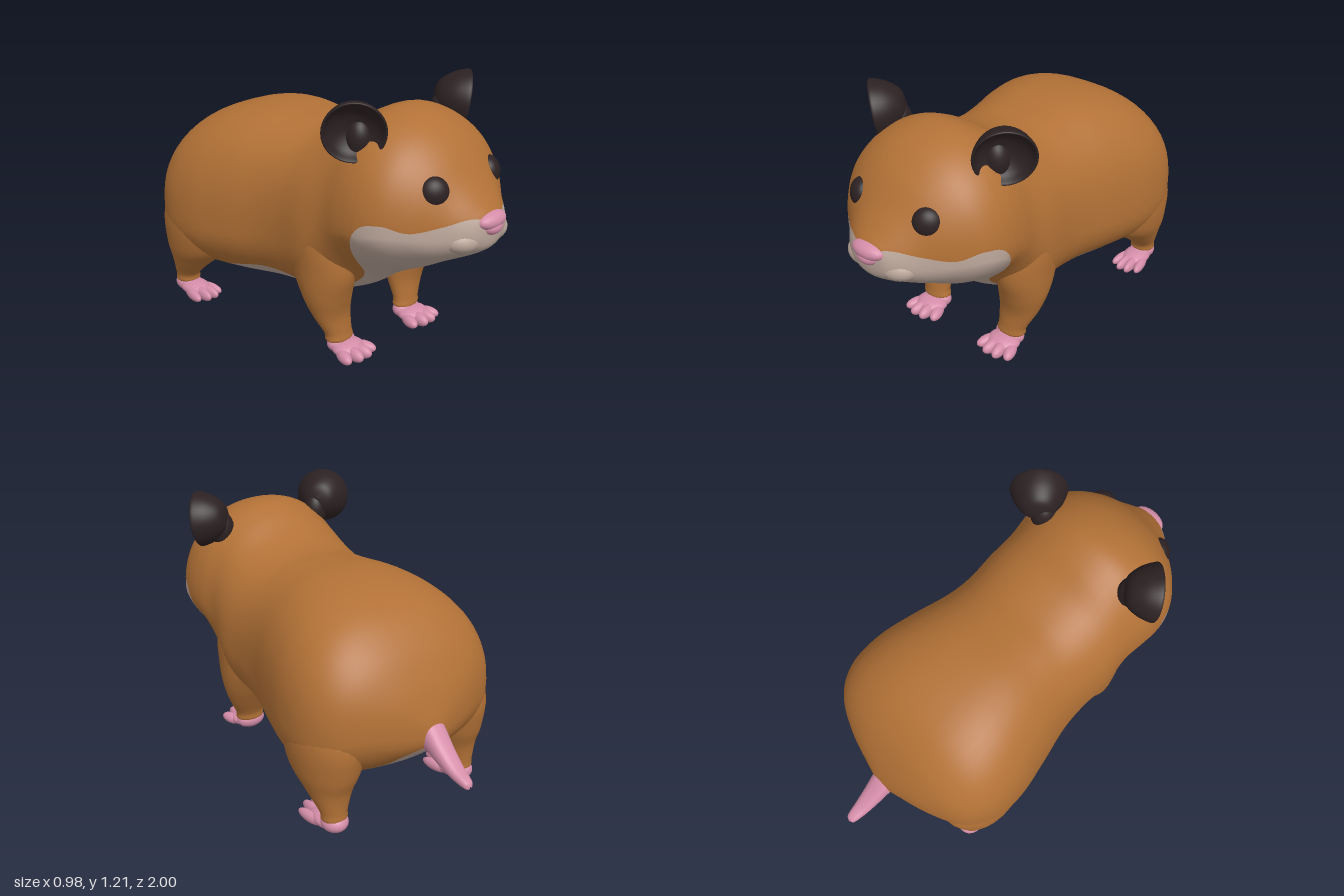
import * as THREE from 'three';

const material = (name, color) => Object.assign(new THREE.MeshStandardMaterial({ color }), { name });

// Skin a list of closed rings; isSecond(j) picks material group 1 for a strip
function skin(rings, isSecond = () => false) {
  const n = rings[0].length, groups = [[], []];
  for (let i = 0; i < rings.length - 1; i++) {
    for (let j = 0; j < n; j++) {
      const a = i * n + j, b = i * n + (j + 1) % n, c = a + n, d = b + n;
      groups[isSecond(j) ? 1 : 0].push(a, c, b, b, c, d);
    }
  }
  const geo = new THREE.BufferGeometry();
  geo.setAttribute('position', new THREE.Float32BufferAttribute(rings.flat(2), 3));
  geo.setIndex([...groups[0], ...groups[1]]);
  geo.addGroup(0, groups[0].length, 0);
  geo.addGroup(groups[0].length, groups[1].length, 1);
  geo.computeVertexNormals();
  return geo;
}

// Smoothly resample a table of sections
function resample(rows, steps) {
  const size = rows[0].length;
  const spline = new THREE.CubicInterpolant(rows.map((_, i) => i), rows.flat(), size);
  const out = [];
  for (let k = 0; k <= steps; k++) {
    out.push(Array.from(spline.evaluate(k / steps * (rows.length - 1))));
  }
  return out;
}

// Upright cross-section: rounded top and bottom halves, divided at height split
const UPPER = 22, LOWER = 14;
function bodyRing([z, top, bottom, mid, width, power, split]) {
  const spow = (v, p) => Math.sign(v) * Math.pow(Math.abs(v), p);
  const upperPower = 2.5 - 0.38 * THREE.MathUtils.smoothstep(z, 0.1, 0.5);
  const w = Math.max(width, 0.002);
  const up = split > mid;
  const ratio = up ? (split - mid) / (top - mid) : (split - mid) / (mid - bottom);
  const cut = Math.asin(THREE.MathUtils.clamp(spow(ratio, (up ? upperPower : power) / 2), -0.99, 0.99));
  const half = [];
  for (let j = 0; j <= UPPER + LOWER; j++) {
    const t = j <= UPPER
      ? THREE.MathUtils.lerp(Math.PI / 2, cut, j / UPPER)
      : THREE.MathUtils.lerp(cut, -Math.PI / 2, (j - UPPER) / LOWER);
    const n = t > 0 ? upperPower : power;
    const h = t > 0 ? top - mid : mid - bottom;
    half.push([w * Math.pow(Math.max(Math.cos(t), 0), 2 / n), mid + h * spow(Math.sin(t), 2 / n), z]);
  }
  return [...half, ...half.slice(1, -1).reverse().map(([x, y, zz]) => [-x, y, zz])];
}

// Horizontal oval for the legs
function legRing([y, cx, cz, rx, rz], side) {
  return Array.from({ length: 28 }, (_, j) => {
    const a = j / 28 * Math.PI * 2;
    return [side * cx + rx * Math.cos(a), y, cz + rz * Math.sin(a)];
  });
}

export function createModel() {
  const model = new THREE.Group();
  model.name = 'hamster';
  const fur = material('brown fur', 0xb27136);
  const cream = material('pale underside', 0xbca79b);
  const pink = material('pink skin', 0xd48da8);
  const dark = material('dark ears and eyes', 0x2c2122);

  const add = (name, geo, mat, parent = model) => {
    const mesh = new THREE.Mesh(geo, mat);
    mesh.name = name;
    parent.add(mesh);
    return mesh;
  };
  const ball = new THREE.SphereGeometry(1, 28, 20);
  const blob = (name, mat, pos, radii, parent) => {
    const mesh = add(name, ball, mat, parent);
    mesh.position.set(...pos);
    mesh.scale.set(...radii);
    return mesh;
  };

  // Body and head: z, top, bottom, widest height, half width, lower power, colour split
  const body = [
    [-0.79, 0.47, 0.43, 0.45, 0.01, 2, 0.434],
    [-0.77, 0.55, 0.40, 0.47, 0.09, 2, 0.41],
    [-0.72, 0.68, 0.35, 0.49, 0.26, 2, 0.365],
    [-0.64, 0.81, 0.28, 0.48, 0.405, 2.1, 0.295],
    [-0.52, 0.915, 0.21, 0.47, 0.478, 2.3, 0.235],
    [-0.36, 0.975, 0.175, 0.47, 0.487, 2.3, 0.21],
    [-0.18, 0.995, 0.18, 0.48, 0.45, 2.2, 0.28],
    [0, 0.98, 0.205, 0.50, 0.405, 2.2, 0.33],
    [0.14, 0.972, 0.225, 0.53, 0.393, 2.3, 0.33],
    [0.28, 1.01, 0.243, 0.58, 0.40, 2.4, 0.28],
    [0.40, 1.085, 0.28, 0.65, 0.388, 2, 0.33],
    [0.50, 1.125, 0.355, 0.68, 0.40, 1.6, 0.44],
    [0.60, 1.117, 0.415, 0.69, 0.402, 1.6, 0.70],
    [0.70, 1.075, 0.47, 0.70, 0.372, 1.7, 0.75],
    [0.79, 1.0, 0.525, 0.70, 0.30, 1.8, 0.725],
    [0.87, 0.895, 0.57, 0.69, 0.205, 2, 0.745],
    [0.93, 0.82, 0.605, 0.69, 0.14, 2, 0.77],
    [0.965, 0.775, 0.64, 0.70, 0.08, 2, 0.76],
    [0.975, 0.72, 0.70, 0.71, 0.005, 2, 0.715],
  ];
  add('bodyAndHead', skin(resample(body, 110).map(bodyRing),
    j => j >= UPPER && j < UPPER + 2 * LOWER), [fur, cream]);

  // Tail
  const tail = [
    [-1.0, 0.335, 0.325, 0.33, 0.003, 2, 0.33],
    [-0.985, 0.355, 0.317, 0.336, 0.023, 2, 0.336],
    [-0.92, 0.387, 0.327, 0.357, 0.036, 2, 0.357],
    [-0.85, 0.443, 0.348, 0.395, 0.046, 2, 0.395],
    [-0.79, 0.503, 0.37, 0.436, 0.054, 2, 0.436],
    [-0.73, 0.55, 0.385, 0.467, 0.063, 2, 0.467],
  ];
  add('tail', skin(resample(tail, 30).map(bodyRing)), [pink, pink]);

  // Nose, wide above and narrow below
  blob('nose', pink, [0, 0.748, 0.955], [0.08, 0.037, 0.045]);
  blob('noseTip', pink, [0, 0.722, 0.96], [0.052, 0.034, 0.04]);

  // Legs: y, centre x, centre z, radius x, radius z
  const legs = {
    front: [
      [0.06, 0.225, 0.365, 0.01, 0.01],
      [0.07, 0.225, 0.365, 0.068, 0.047],
      [0.11, 0.23, 0.36, 0.071, 0.049],
      [0.2, 0.247, 0.335, 0.097, 0.072],
      [0.3, 0.26, 0.32, 0.116, 0.112],
      [0.42, 0.265, 0.31, 0.123, 0.15],
      [0.58, 0.265, 0.31, 0.127, 0.13],
      [0.75, 0.24, 0.31, 0.11, 0.07],
    ],
    hind: [
      [0.06, 0.35, -0.565, 0.01, 0.01],
      [0.07, 0.35, -0.565, 0.057, 0.05],
      [0.11, 0.35, -0.56, 0.063, 0.057],
      [0.2, 0.345, -0.515, 0.1, 0.112],
      [0.3, 0.335, -0.47, 0.141, 0.19],
      [0.45, 0.32, -0.45, 0.165, 0.225],
      [0.62, 0.28, -0.43, 0.17, 0.18],
      [0.76, 0.22, -0.41, 0.12, 0.1],
    ],
  };

  // Foot with four spread toes, heel at the local origin
  const foot = (name, x, z, sx, sz) => {
    const g = new THREE.Group();
    g.name = name;
    g.position.set(x, 0, z);
    g.scale.set(sx, 1, sz);
    blob('ankle', pink, [0, 0.05, 0.04], [0.073, 0.045, 0.048], g);
    blob('palm', pink, [0, 0.037, 0.085], [0.077, 0.036, 0.07], g);
    [-1.5, -0.5, 0.5, 1.5].forEach(k => {
      const inner = Math.abs(k) < 1;
      const toe = blob('toe', pink, [k * 0.043, inner ? 0.032 : 0.028, inner ? 0.142 : 0.122],
        [0.027, inner ? 0.031 : 0.027, 0.056], g);
      toe.rotation.y = k * 0.22;
    });
    model.add(g);
  };

  // Ear dish
  const earGeo = new THREE.LatheGeometry(new THREE.SplineCurve([
    [0, -0.13], [0.06, -0.117], [0.105, -0.065], [0.128, -0.005], [0.12, 0.006],
    [0.098, -0.03], [0.05, -0.062], [0, -0.07],
  ].map(p => new THREE.Vector2(...p))).getPoints(32)
    .map(p => p.setX(Math.max(p.x, 0))), 40);

  for (const side of [1, -1]) {
    const label = side > 0 ? 'left' : 'right';
    for (const [key, rows] of Object.entries(legs)) {
      add(`${label}${key}Leg`, skin(resample(rows, 36).map(r => legRing(r, side))), [fur, fur]);
    }
    foot(`${label}FrontFoot`, side * 0.22, 0.33, 1, 1);
    foot(`${label}HindFoot`, side * 0.35, -0.62, 0.82, 1.3);

    const ear = add(`${label}Ear`, earGeo, dark);
    ear.position.set(side * 0.343, 1.08, 0.545);
    ear.quaternion.setFromUnitVectors(new THREE.Vector3(0, 1, 0),
      new THREE.Vector3(side * 0.7, -0.15, 0.7).normalize());
    blob(`${label}EarBase`, dark, [side * 0.262, 1.03, 0.495], [0.058, 0.085, 0.058]);

    const eye = blob(`${label}Eye`, dark, [side * 0.18, 0.87, 0.808], [0.062, 0.061, 0.045]);
    eye.quaternion.setFromUnitVectors(new THREE.Vector3(0, 0, 1),
      new THREE.Vector3(side * 0.62, 0.25, 0.74).normalize());

    blob(`${label}MuzzleLobe`, cream, [side * 0.08, 0.672, 0.872], [0.098, 0.062, 0.09]);
  }
  return model;
}
